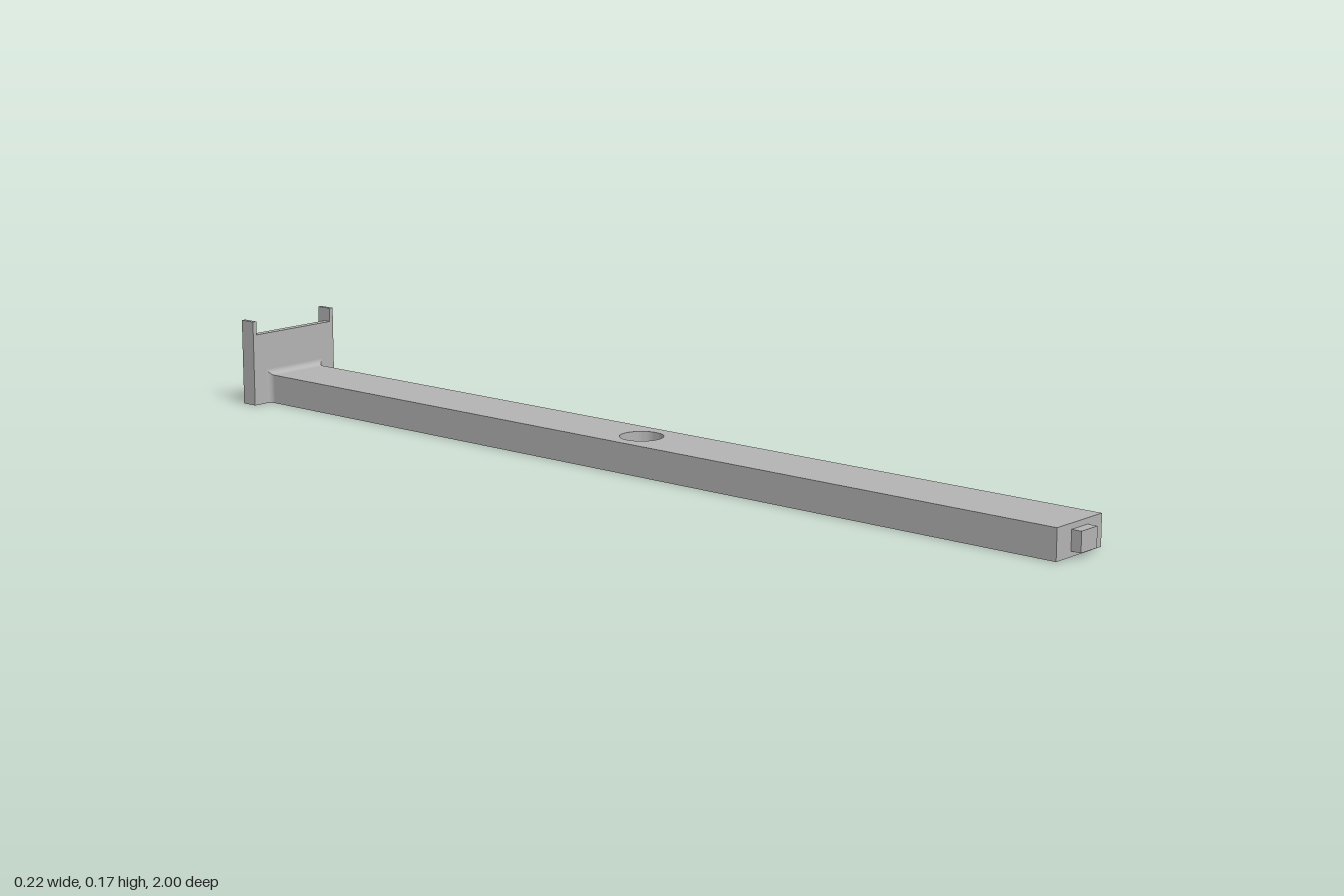
import * as THREE from 'three';
import { toCreasedNormals } from 'three/addons/utils/BufferGeometryUtils.js';

const BAR_W = 0.0675, BAR_H = 0.059;        // bar half width and height
const PLATE_Z = -0.966, FILLET = 0.012;     // front of end plate, blend radius
const BAR_BACK = PLATE_Z + FILLET, BAR_FRONT = 0.98;

// Long flat bar with a round through hole
function barGeometry() {
  const s = new THREE.Shape();
  s.moveTo(-BAR_W, -BAR_FRONT);
  s.lineTo(BAR_W, -BAR_FRONT);
  s.lineTo(BAR_W, -BAR_BACK);
  s.lineTo(-BAR_W, -BAR_BACK);
  s.closePath();
  const hole = new THREE.Path();
  hole.absarc(0, 0, 0.042, 0, Math.PI * 2, true);
  s.holes.push(hole);
  const g = new THREE.ExtrudeGeometry(s, { depth: BAR_H, bevelEnabled: false, curveSegments: 24 });
  g.rotateX(-Math.PI / 2);
  return toCreasedNormals(g, 0.6);
}

// Concave mitred blend, widening from the bar section to the plate
function filletGeometry() {
  const rows = 10, pos = [], index = [];
  for (let side = 0; side < 4; side++) {
    const base = pos.length / 3;
    for (let i = 0; i <= rows; i++) {
      const a = (i / rows) * Math.PI / 2;
      const o = FILLET * (1 - Math.cos(a)), z = BAR_BACK - FILLET * Math.sin(a);
      const w = BAR_W + o, t = BAR_H + o;
      const ring = [[-w, 0], [w, 0], [w, t], [-w, t]];
      pos.push(...ring[side], z, ...ring[(side + 1) % 4], z);
      if (i < rows) {
        const k = base + i * 2;
        index.push(k, k + 2, k + 1, k + 1, k + 2, k + 3);
      }
    }
  }
  const g = new THREE.BufferGeometry();
  g.setAttribute('position', new THREE.Float32BufferAttribute(pos, 3));
  g.setIndex(index);
  g.computeVertexNormals();
  return g;
}

export function createModel() {
  const model = new THREE.Group();
  const grey = new THREE.MeshStandardMaterial({ color: 0xb4b4b4 });
  grey.name = 'grey';

  const add = (name, geometry) => {
    const mesh = new THREE.Mesh(geometry, grey);
    mesh.name = name;
    model.add(mesh);
  };
  // Box given by its limits
  const box = (name, x0, x1, y0, y1, z0, z1) => {
    const g = new THREE.BoxGeometry(x1 - x0, y1 - y0, z1 - z0);
    g.translate((x0 + x1) / 2, (y0 + y1) / 2, (z0 + z1) / 2);
    add(name, g);
  };

  add('bar', barGeometry());
  add('fillet', filletGeometry());
  box('endTab', -0.024, 0.024, 0.01, 0.048, BAR_FRONT, 1);

  // End plate: thin panel framed at the back by side rails and a bottom ledge
  box('panel', -0.102, 0.102, 0, 0.147, -0.982, PLATE_Z);
  box('bottomLedge', -0.102, 0.102, 0, 0.01, -1, -0.982);
  box('leftRail', 0.102, 0.111, 0, 0.175, -1, PLATE_Z);
  box('rightRail', -0.111, -0.102, 0, 0.175, -1, PLATE_Z);
  return model;
}
